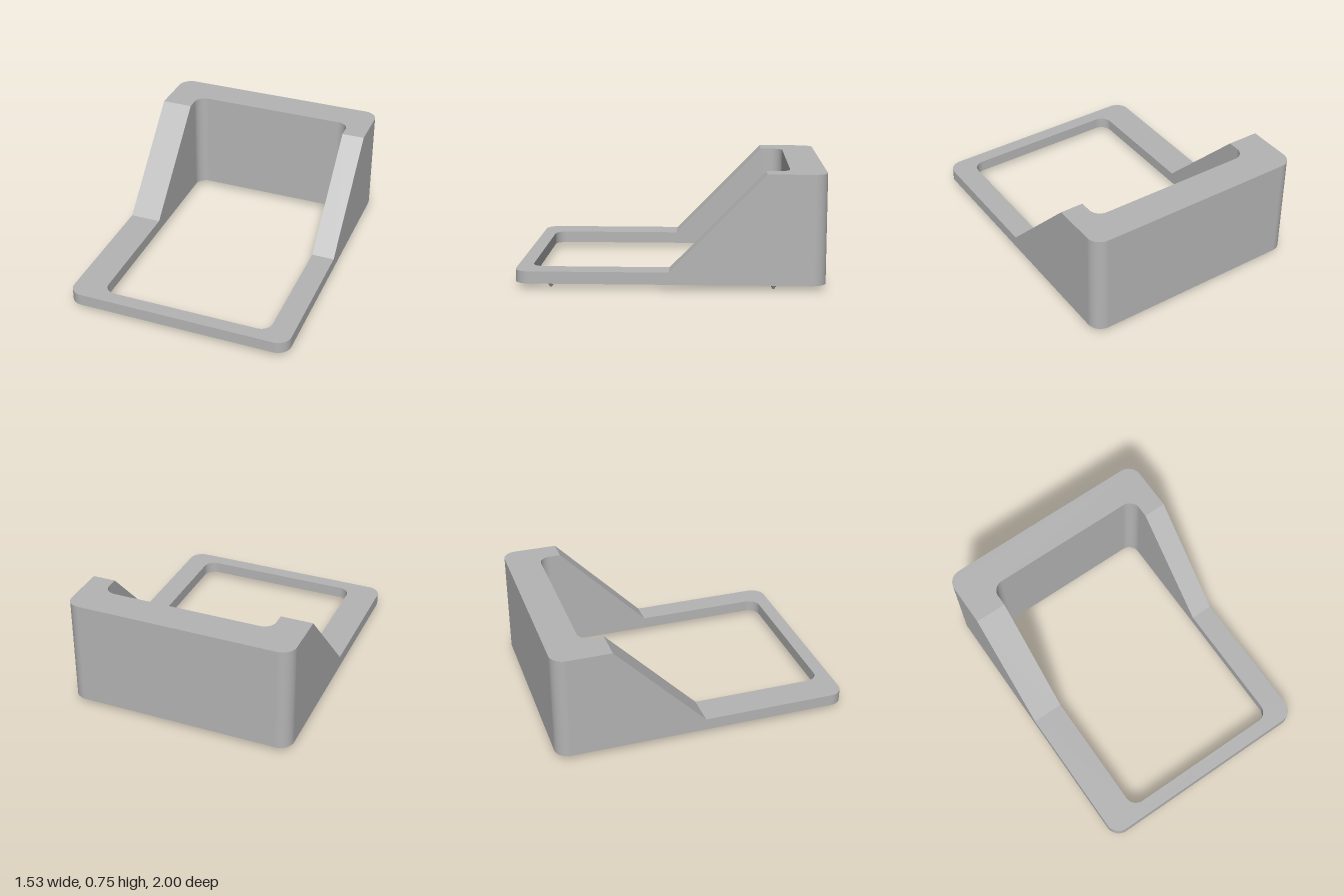
import * as THREE from 'three';

const BASE = 0.035, LOW = 0.115, HIGH = 0.75;   // underside, front frame top, rear wall top
const Z_LOW = 0.005, Z_HIGH = -0.615;           // where the ramps start and end
const ARC = 14;

// Height of the top surface at depth z
function topHeight(z) {
  const t = THREE.MathUtils.clamp((z - Z_LOW) / (Z_HIGH - Z_LOW), 0, 1);
  return LOW + (HIGH - LOW) * t;
}

// U-shaped path from the +x side at zStart, round two corners at zEnd, to the -x side
function uPath(x0, x1, zStart, zEnd, r) {
  const s = Math.sign(zEnd - zStart), pts = [[x1, zStart]];
  for (const [cx, from] of [[x1 - r, 0], [x0 + r, Math.PI / 2]]) {
    for (let i = 0; i <= ARC; i++) {
      const a = from + (i / ARC) * Math.PI / 2;
      pts.push([cx + r * Math.cos(a), zEnd - s * r + s * r * Math.sin(a)]);
    }
  }
  pts.push([x0, zStart]);
  return pts;
}

function circle(cx, cz, r, n = 32) {
  return Array.from({ length: n }, (_, i) => {
    const a = (i / n) * Math.PI * 2;
    return [cx + r * Math.cos(a), cz + r * Math.sin(a)];
  });
}

// Upright wall along a closed loop, facing out of it or into it
function wall(loop, height, outward) {
  const pos = [], index = [], n = loop.length;
  loop.forEach(([x, z], i) => {
    pos.push(x, BASE, z, x, height(z), z);
    const a = 2 * i, b = 2 * ((i + 1) % n);
    if (outward) index.push(a, a + 1, b, b, a + 1, b + 1);
    else index.push(a, b, a + 1, b, b + 1, a + 1);
  });
  const g = new THREE.BufferGeometry();
  g.setAttribute('position', new THREE.Float32BufferAttribute(pos, 3));
  g.setIndex(index);
  g.computeVertexNormals();
  return g;
}

// Upward face over an outline, lifted to the top height
function topFace(pts) {
  const shape = new THREE.Shape(pts.map(([x, z]) => new THREE.Vector2(x, -z)));
  const g = new THREE.ShapeGeometry(shape).rotateX(-Math.PI / 2);
  const p = g.attributes.position;
  for (let i = 0; i < p.count; i++) p.setY(i, topHeight(p.getZ(i)));
  g.computeVertexNormals();
  return g;
}

// Downward face with holes
function bottomFace(outline, holes) {
  const vec = (l) => l.map(([x, z]) => new THREE.Vector2(x, z));
  const shape = new THREE.Shape(vec(outline));
  holes.forEach((h) => shape.holes.push(new THREE.Path(vec(h))));
  return new THREE.ShapeGeometry(shape).rotateX(Math.PI / 2).translate(0, BASE, 0);
}

export function createModel() {
  const group = new THREE.Group();
  const grey = new THREE.MeshStandardMaterial({ color: 0xb4b4b4 });
  grey.name = 'light grey';
  const add = (name, geometry) => {
    const m = new THREE.Mesh(geometry, grey);
    m.name = name;
    group.add(m);
    return m;
  };

  // Outlines of the frame and its off-centre opening, split at the ramps
  const outerFront = uPath(-0.767, 0.767, Z_LOW, 1, 0.093);
  const outerBack = uPath(-0.767, 0.767, Z_HIGH, -1, 0.093);
  const innerFront = uPath(-0.552, 0.612, Z_LOW, 0.905, 0.08);
  const innerBack = uPath(-0.552, 0.612, Z_HIGH, -0.77, 0.08);
  const outer = [...outerFront, ...[...outerBack].reverse()];
  const inner = [...innerFront, ...[...innerBack].reverse()];

  add('outerWall', wall(outer, topHeight, true));
  add('innerWall', wall(inner, topHeight, false));
  add('frontFrameTop', topFace([...outerFront, ...[...innerFront].reverse()]));
  add('rearWallTop', topFace([...outerBack, ...[...innerBack].reverse()]));

  // Ramps joining the low frame to the tall rear wall
  for (const [name, i] of [['leftRamp', 0], ['rightRamp', outerFront.length - 1]]) {
    add(name, topFace([outerFront[i], outerBack[i], innerBack[i], innerFront[i]]));
  }

  // Underside with round blind recesses
  const recesses = [[0.39, -0.885], [-0.25, -0.885], [-0.645, -0.57], [-0.645, 0.2]];
  const rims = recesses.map(([x, z]) => circle(x, z, 0.06));
  add('underside', bottomFace(outer, [inner, ...rims]));
  const depth = 0.042;
  recesses.forEach(([x, z], i) => {
    add('recessWall', wall(rims[i], () => BASE + depth, false));
    add('recessFloor', new THREE.CircleGeometry(0.06, 32).rotateX(Math.PI / 2).translate(x, BASE + depth, z));
  });

  // Three small pointed feet
  const foot = new THREE.CylinderGeometry(0.027, 0.006, BASE, 24);
  for (const [x, z] of [[0.7, -0.665], [0.7, 0.77], [-0.645, -0.175]]) {
    add('foot', foot).position.set(x, BASE / 2, z);
  }
  return group;
}
